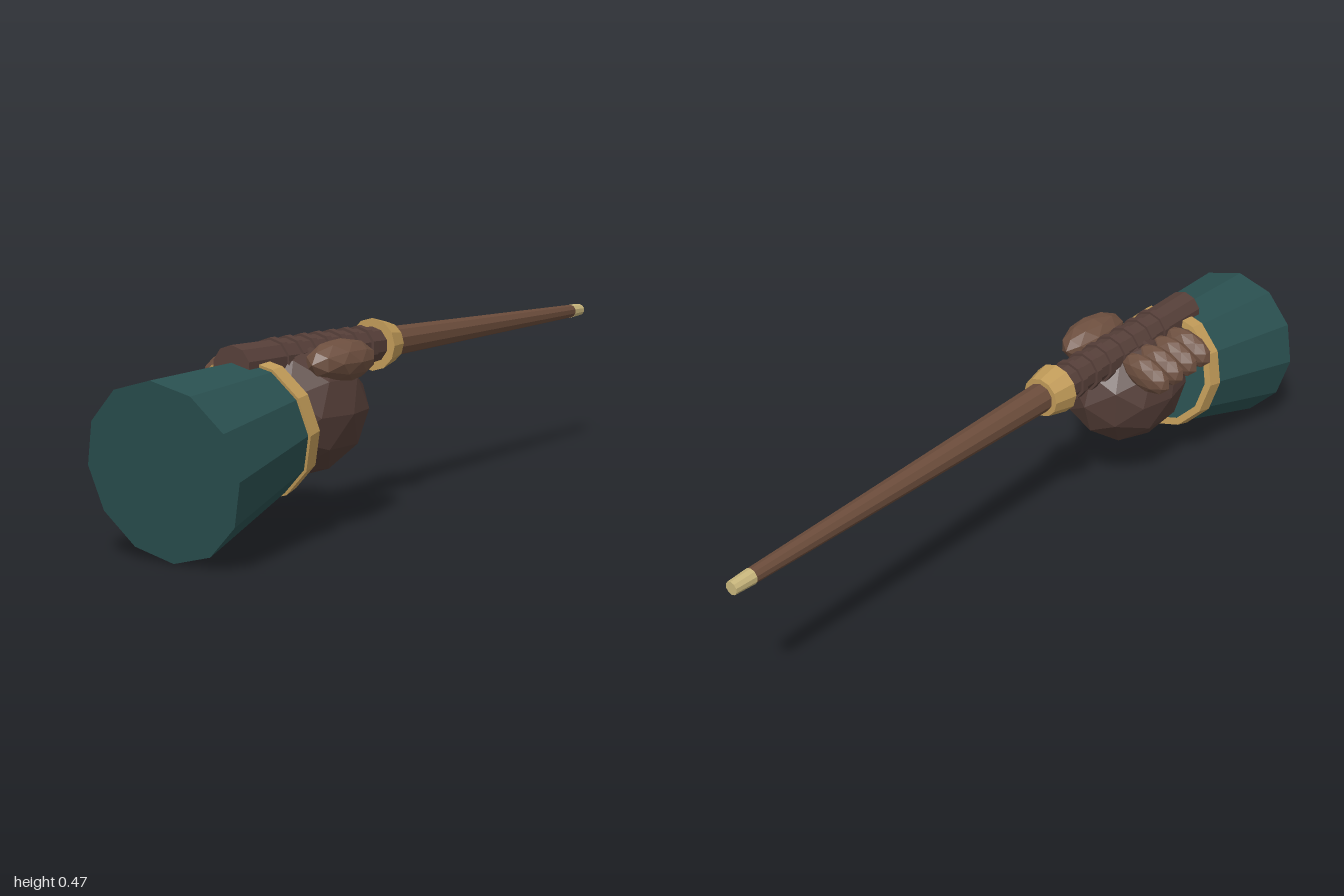
import * as THREE from 'three';

const mat = (name, color) => {
  const m = new THREE.MeshStandardMaterial({ color });
  m.name = name;
  return m;
};

// Faceted normals
function flat(geo) {
  const g = geo.index ? geo.toNonIndexed() : geo;
  g.computeVertexNormals();
  return g;
}

export function createModel() {
  const root = new THREE.Group();
  const teal = mat('tealCloth', 0x2a5050);
  const gold = mat('gold', 0xc09a58);
  const paleGold = mat('paleGold', 0xc8b67c);
  const darkWood = mat('darkWood', 0x563f39);
  const wood = mat('wood', 0x6b4c3b);
  const glove = mat('darkGlove', 0x523c36);
  const fingerBrown = mat('fingerBrown', 0x6d4f3f);

  const add = (parent, name, geo, material) => {
    const mesh = new THREE.Mesh(flat(geo), material);
    mesh.name = name;
    parent.add(mesh);
    return mesh;
  };

  // Wand: axis along z, each piece given by its front and back z
  const wand = new THREE.Group();
  wand.name = 'wand';
  wand.position.y = 0.404;
  root.add(wand);
  const rod = (name, zFront, zBack, rFront, rBack, sides, material) => {
    const geo = new THREE.CylinderGeometry(rBack, rFront, zFront - zBack, sides);
    geo.rotateX(-Math.PI / 2).translate(0, 0, (zFront + zBack) / 2);
    return add(wand, name, geo, material);
  };
  rod('handle', 0.717, 0.13, 0.052, 0.045, 10, darkWood);
  for (let i = 0; i < 7; i++) {
    const z = 0.2 + i * 0.06, r = 0.053 + i * 0.0005;
    rod('gripRing', z + 0.01, z - 0.01, r, r, 10, darkWood);
  }
  rod('collar', 0.14, 0.075, 0.066, 0.052, 12, gold);
  rod('shaft', 0.09, -0.945, 0.039, 0.019, 10, wood);
  rod('tip', -0.94, -1, 0.02, 0.017, 10, paleGold);

  // Sleeve, tilted so the narrow cuff rises towards the hand
  const sleeve = new THREE.Group();
  sleeve.name = 'sleeve';
  sleeve.position.set(0, 0.204, 0.965);
  sleeve.rotation.x = -Math.PI / 2 + 0.168;
  root.add(sleeve);
  add(sleeve, 'sleeveCloth',
    new THREE.CylinderGeometry(0.158, 0.206, 0.352, 12).translate(0, 0.176, 0), teal);
  const band = [[0.147, 0.315], [0.17, 0.315], [0.166, 0.357], [0.147, 0.357], [0.147, 0.315]]
    .map(([r, y]) => new THREE.Vector2(r, y));
  add(sleeve, 'cuffBand', new THREE.LatheGeometry(band, 12), gold);

  // Hand: faceted ellipsoids
  const hand = new THREE.Group();
  hand.name = 'hand';
  root.add(hand);
  const blob = (name, pos, radii, material, tilt = 0) => {
    const geo = new THREE.IcosahedronGeometry(1, 1).scale(...radii).rotateZ(tilt);
    add(hand, name, geo, material).position.set(...pos);
  };
  blob('palm', [0.01, 0.282, 0.465], [0.15, 0.157, 0.188], glove);
  blob('thumb', [0.105, 0.4, 0.437], [0.06, 0.052, 0.118], fingerBrown);
  for (let i = 0; i < 4; i++) {
    blob('finger', [-0.11, 0.38, 0.383 + i * 0.064], [0.077, 0.045, 0.033], fingerBrown, 0.3);
  }
  return root;
}
